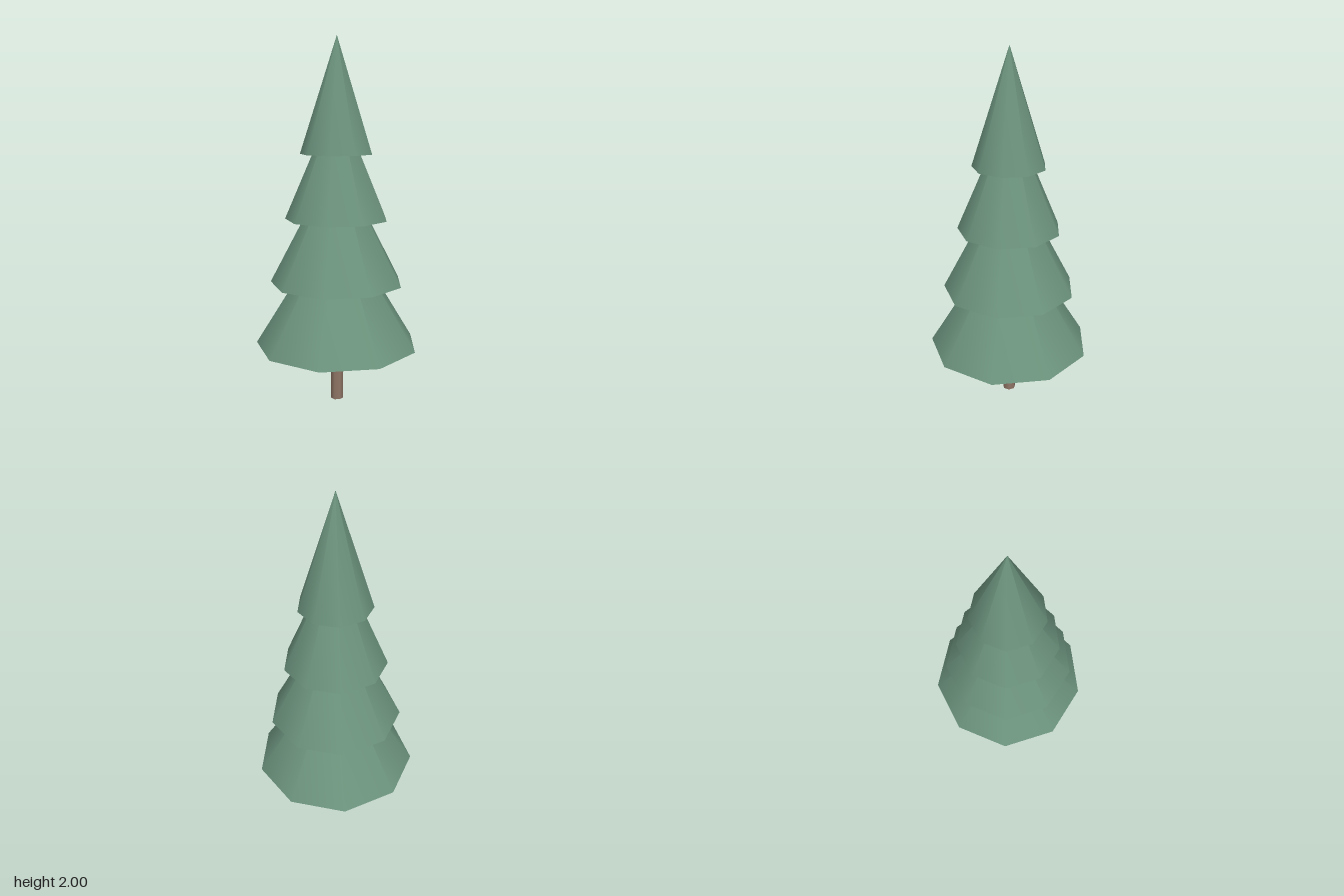
import * as THREE from 'three';

export function createModel() {
  const tree = new THREE.Group();
  tree.name = 'pineTree';

  const needles = new THREE.MeshStandardMaterial({ color: 0x6b927c });
  needles.name = 'needle green';
  const bark = new THREE.MeshStandardMaterial({ color: 0x907566 });
  bark.name = 'bark brown';

  // The nine-sided tiers point a corner forward, so the axis sits slightly back
  const axisZ = -0.014;

  // Trunk, ending just inside the lowest tier
  const trunkHeight = 0.36;
  const trunk = new THREE.Mesh(new THREE.CylinderGeometry(0.034, 0.036, trunkHeight, 7), bark);
  trunk.name = 'trunk';
  trunk.position.set(0, trunkHeight / 2, axisZ);
  tree.add(trunk);

  // Four overlapping foliage cones, narrowing upward: [radius, base y, height]
  const tiers = [
    [0.451, 0.325, 0.73],
    [0.367, 0.677, 0.7],
    [0.283, 1.03, 0.66],
    [0.199, 1.382, 0.618],
  ];
  tiers.forEach(([radius, base, height], i) => {
    const tier = new THREE.Mesh(new THREE.ConeGeometry(radius, height, 9), needles);
    tier.name = `foliageTier${i + 1}`;
    tier.position.set(0, base + height / 2, axisZ);
    tree.add(tier);
  });

  return tree;
}
